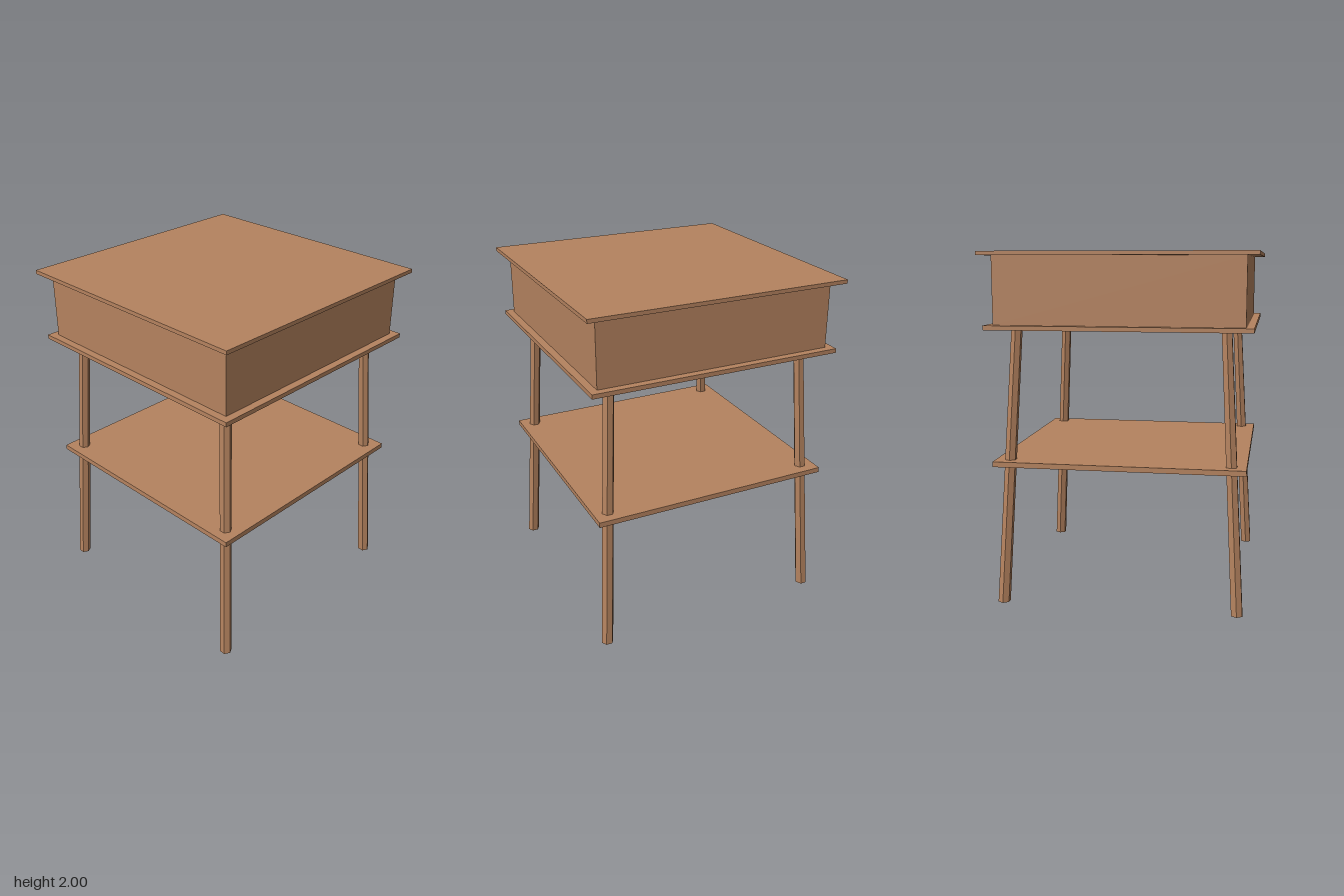
import * as THREE from 'three';

export function createModel() {
  const wood = new THREE.MeshStandardMaterial({ color: 0xb5835f });
  wood.name = 'wood';

  const model = new THREE.Group();
  model.name = 'sideTable';
  const table = new THREE.Group();
  table.name = 'turnedTable';
  table.rotation.y = 0.2346; // the whole table stands slightly turned
  model.add(table);

  // Square slab between two heights
  function slab(name, half, y0, y1) {
    const mesh = new THREE.Mesh(new THREE.BoxGeometry(half * 2, y1 - y0, half * 2), wood);
    mesh.position.y = (y0 + y1) / 2;
    mesh.name = name;
    table.add(mesh);
  }
  slab('tableTop', 0.755, 1.978, 2);
  slab('boxBody', 0.691, 1.6, 1.978);
  slab('boxBase', 0.735, 1.575, 1.6);
  slab('shelf', 0.709, 0.805, 0.835);

  // Splayed, slightly tapered six-sided legs, cut flat at the floor
  const height = 1.58, footOffset = 0.672, topOffset = 0.585;
  for (const sx of [-1, 1]) {
    for (const sz of [-1, 1]) {
      const geo = new THREE.CylinderGeometry(0.032, 0.036, height, 6).toNonIndexed();
      geo.translate(0, height / 2, 0);
      const p = geo.attributes.position;
      for (let i = 0; i < p.count; i++) {
        const d = THREE.MathUtils.lerp(footOffset, topOffset, p.getY(i) / height);
        p.setX(i, p.getX(i) + sx * d);
        p.setZ(i, p.getZ(i) + sz * d);
      }
      geo.computeVertexNormals(); // flat facets
      const leg = new THREE.Mesh(geo, wood);
      leg.name = (sz > 0 ? 'front' : 'back') + (sx > 0 ? 'Left' : 'Right') + 'Leg';
      table.add(leg);
    }
  }
  return model;
}
